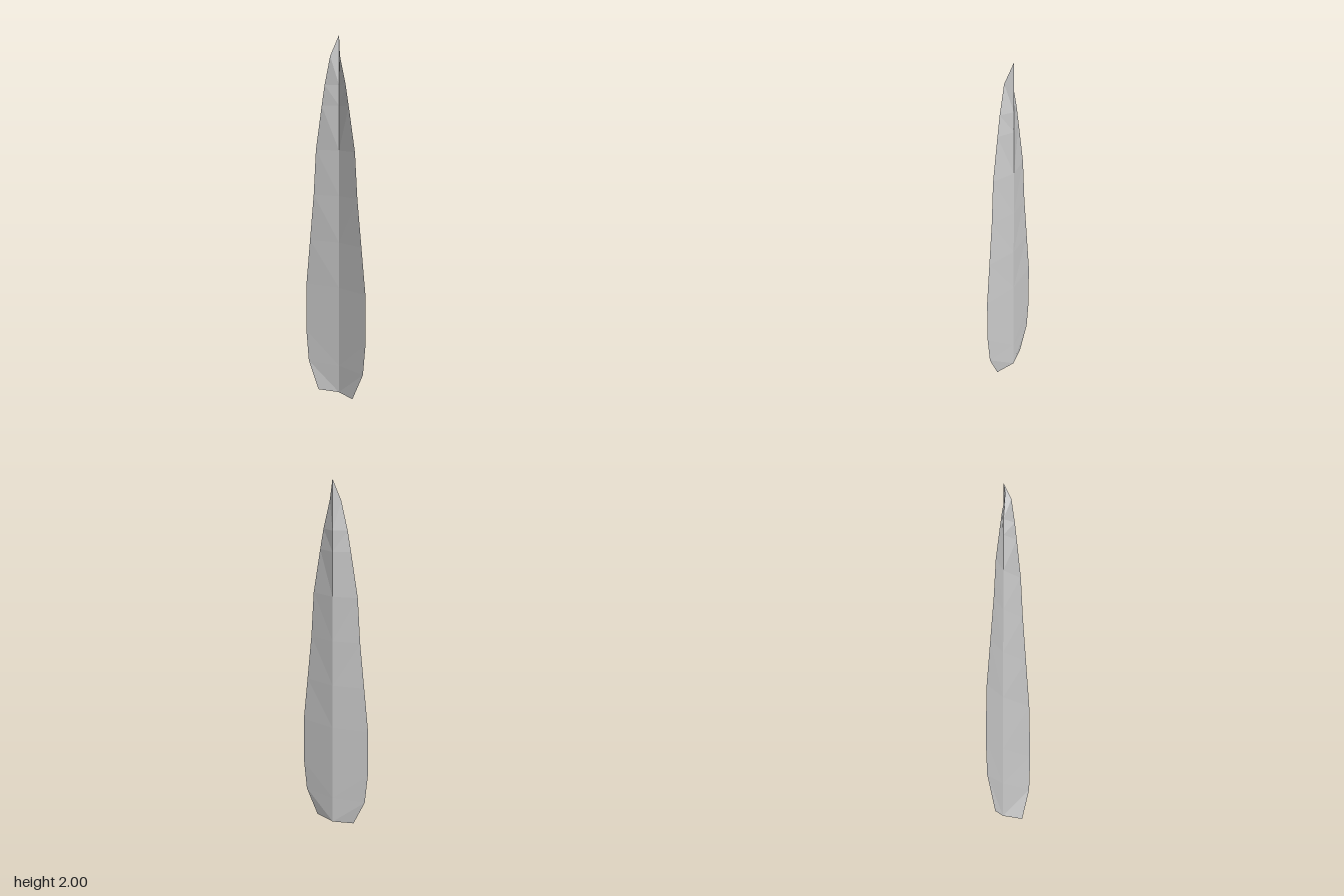
import * as THREE from 'three';

// Half-widths of the blade by height: [y, half-width]
const OUTLINE = [
  [0, 0.12], [0.16, 0.19], [0.34, 0.206], [0.62, 0.203], [0.88, 0.175], [1.14, 0.147],
  [1.39, 0.13], [1.63, 0.089], [1.74, 0.069], [1.89, 0.032],
];
const SPINE_Z = -0.018;
const EDGE_Z = 0.018;

// One half of the folded blade, between the spine and the outer edge
function bladeHalf(side, material) {
  const positions = [];
  const index = [];
  const tri = (a, b, c) => index.push(...(side > 0 ? [a, b, c] : [a, c, b]));

  for (const [y, w] of OUTLINE) positions.push(0, y, SPINE_Z, side * w, y, EDGE_Z);
  positions.push(0, 2, SPINE_Z); // pointed tip

  const last = 2 * (OUTLINE.length - 1);
  for (let i = 0; i < last; i += 2) {
    tri(i, i + 1, i + 3);
    tri(i, i + 3, i + 2);
  }
  tri(last, last + 1, last + 2);

  const geometry = new THREE.BufferGeometry();
  geometry.setAttribute('position', new THREE.Float32BufferAttribute(positions, 3));
  geometry.setIndex(index);
  const flat = geometry.toNonIndexed();
  flat.computeVertexNormals();
  const mesh = new THREE.Mesh(flat, material);
  mesh.name = side > 0 ? 'leftBladeHalf' : 'rightBladeHalf';
  return mesh;
}

export function createModel() {
  const group = new THREE.Group();
  group.name = 'foldedBlade';
  const material = new THREE.MeshStandardMaterial({
    color: 0xcccccc, flatShading: true, side: THREE.DoubleSide,
  });
  for (const side of [1, -1]) group.add(bladeHalf(side, material));
  return group;
}
